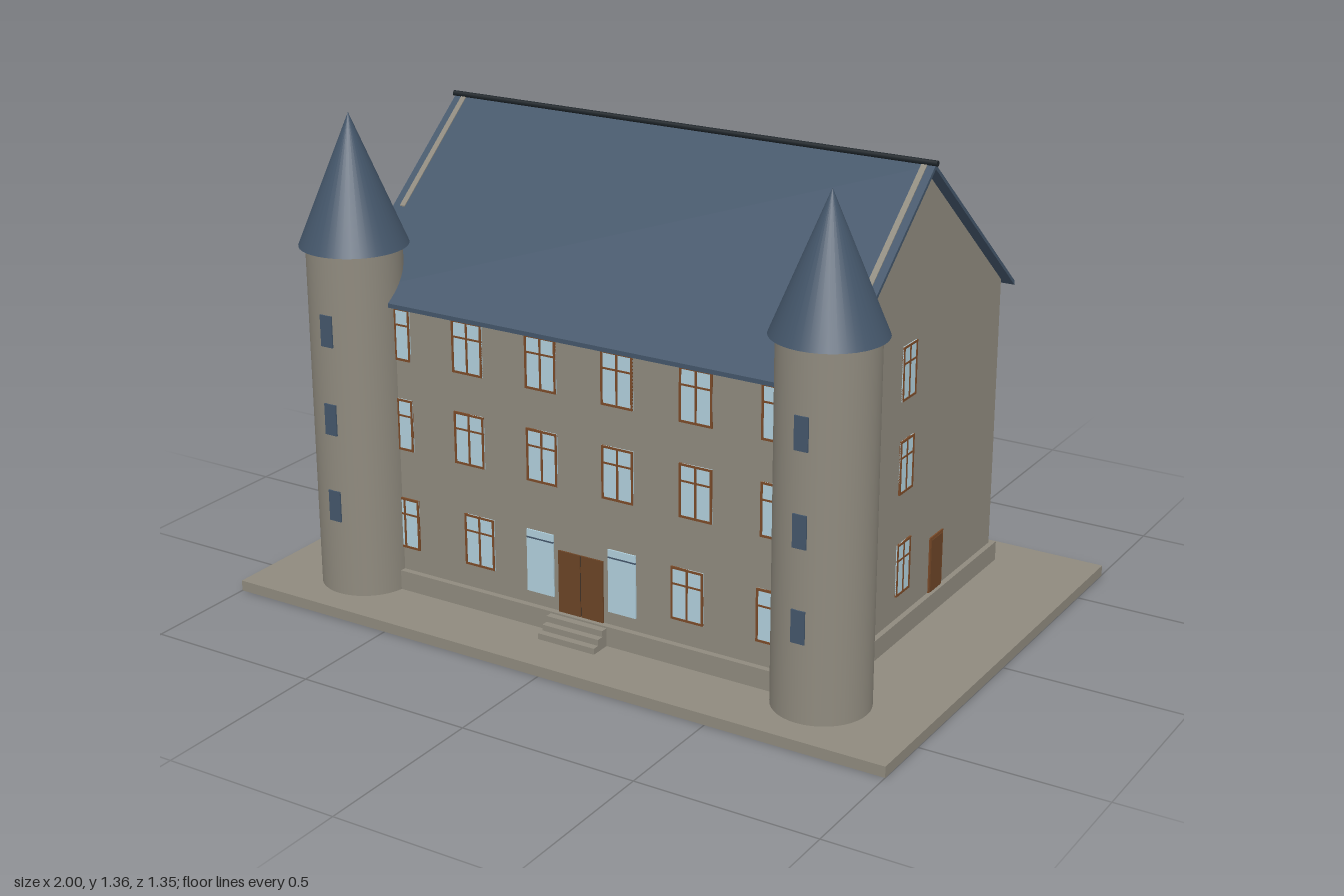
import * as THREE from 'three';

export function createModel() {
  const model = new THREE.Group();
  const mat = (name, color) => {
    const m = new THREE.MeshStandardMaterial({ color });
    m.name = name;
    return m;
  };
  const stone = mat('stone', 0x8f8a7e);
  const slate = mat('slate', 0x44566a);
  const glass = mat('glass', 0xb0cfdc);
  const timber = mat('timber', 0x7a4a28);
  const door = mat('door brown', 0x6b4426);
  const dark = mat('dark ridge', 0x1d2429);

  const add = (parent, name, geometry, material, x = 0, y = 0, z = 0) => {
    const mesh = new THREE.Mesh(geometry, material);
    mesh.name = name;
    mesh.position.set(x, y, z);
    parent.add(mesh);
    return mesh;
  };
  const box = (parent, name, w, h, d, material, x, y, z) =>
    add(parent, name, new THREE.BoxGeometry(w, h, d), material, x, y, z);
  // Extrudes a [z, y] profile along x between x0 and x1
  const prism = (name, points, x0, x1, material) => {
    const shape = new THREE.Shape(points.map(p => new THREE.Vector2(p[0], p[1])));
    const g = new THREE.ExtrudeGeometry(shape, { depth: x1 - x0, bevelEnabled: false });
    g.rotateY(-Math.PI / 2);
    g.translate(x1, 0, 0);
    return add(model, name, g, material);
  };

  const WX = 0.71, ZB = -0.538, ZF = 0.468, ZM = -0.035;

  // Ground slab, plinth and main block
  box(model, 'groundSlab', 2, 0.03, 1.35, stone, 0, 0.015, 0);
  box(model, 'plinth', 1.45, 0.056, 1.04, stone, 0, 0.058, ZM);
  prism('walls', [[ZB, 0.03], [ZF, 0.03], [ZF, 0.866], [ZM, 1.288], [ZB, 0.866]], -WX, WX, stone);

  // Roof: thin folded slab, ridge bar and gable copings showing through
  const roofY = z => 1.303 - Math.abs(z - ZM) * 0.84;
  const fold = (half, top, bottom) => {
    const a = ZM - half, b = ZM + half;
    return [[a, roofY(a) + bottom], [ZM, 1.303 + bottom], [b, roofY(b) + bottom],
      [b, roofY(b) + top], [ZM, 1.303 + top], [a, roofY(a) + top]];
  };
  prism('roof', fold(0.527, 0, -0.012), -0.74, 0.74, slate);
  for (const s of [-1, 1]) {
    prism('gableCoping', fold(0.297, 0.003, -0.006), s * 0.71 - 0.008, s * 0.71 + 0.008, stone);
  }
  const ridge = new THREE.CylinderGeometry(0.008, 0.008, 1.49, 8);
  ridge.rotateZ(Math.PI / 2);
  add(model, 'ridge', ridge, dark, 0, 1.306, ZM);

  // Corner towers with cone roofs and slit windows
  for (const s of [-1, 1]) {
    const tower = new THREE.Group();
    tower.name = 'tower';
    tower.position.set(s * 0.715, 0, 0.467);
    model.add(tower);
    add(tower, 'towerWall', new THREE.CylinderGeometry(0.129, 0.129, 0.97, 40), stone, 0, 0.515, 0);
    add(tower, 'towerRoof', new THREE.ConeGeometry(0.147, 0.357, 40), slate, 0, 1.1785, 0);
    for (const y of [0.29, 0.54, 0.79]) {
      box(tower, 'towerWindow', 0.038, 0.088, 0.009, slate, 0, y, 0.1275);
    }
  }

  // Places a group on a wall: u runs along the wall, side picks the facing
  const sides = {
    front: u => [u, ZF, 0],
    back: u => [u, ZB, Math.PI],
    left: u => [WX, u, Math.PI / 2],
    right: u => [-WX, u, -Math.PI / 2],
  };
  const onWall = (name, side, u, y) => {
    const g = new THREE.Group();
    const [x, z, turn] = sides[side](u);
    g.name = name;
    g.position.set(x, y, z);
    g.rotation.y = turn;
    model.add(g);
    return g;
  };
  // Framed window with mullion and transom
  const addWindow = (side, u, y, w, h, transom = true) => {
    const g = onWall('window', side, u, y);
    const t = 0.006;
    box(g, 'glass', w, h, 0.004, glass, 0, 0, 0.001);
    for (const s of [-1, 1]) {
      box(g, 'frameSide', t, h, 0.008, timber, s * (w - t) / 2, 0, 0.001);
      box(g, 'frameRail', w, t, 0.008, timber, 0, s * (h - t) / 2, 0.001);
    }
    box(g, 'mullion', t, h, 0.007, timber, 0, 0, 0.001);
    if (transom) box(g, 'transom', w, 0.005, 0.007, timber, 0, h * 0.18, 0.001);
  };

  const rows = [0.226, 0.514, 0.771];
  rows.forEach((y, floor) => {
    // Front
    const us = floor === 0 ? [0.325, 0.576] : [0.117, 0.35, 0.585];
    for (const u of us) for (const s of [-1, 1]) addWindow('front', s * u, y, 0.096, 0.147);
    // Back, with a small window at the end of each floor
    for (let i = 0; i < 6; i++) addWindow('back', 0.433 - i * 0.2066, y, 0.096, 0.147);
    addWindow('back', 0.626, y + 0.035, 0.075, 0.055, false);
    // Gable ends
    for (const u of [0.018, 0.305]) {
      addWindow('left', u, y, 0.077, 0.148);
      addWindow('right', u, y, 0.077, 0.148);
    }
    addWindow('right', -0.4, y, 0.077, 0.148);
  });

  // Front double door with tall side lights
  const entry = onWall('frontDoor', 'front', 0, 0.174);
  box(entry, 'doorSeam', 0.01, 0.17, 0.003, dark, 0, 0, 0.001);
  for (const s of [-1, 1]) {
    box(entry, 'doorLeaf', 0.068, 0.176, 0.008, door, s * 0.0355, 0, 0.001);
    box(entry, 'sideLight', 0.085, 0.178, 0.006, glass, s * 0.128, 0.038, 0.001);
    box(entry, 'sideLightBar', 0.085, 0.004, 0.008, slate, s * 0.128, 0.105, 0.001);
  }

  // Side door
  const sideDoor = onWall('sideDoor', 'left', -0.182, 0.166);
  box(sideDoor, 'doorFrame', 0.078, 0.16, 0.006, timber, 0, 0, 0.001);
  box(sideDoor, 'doorLeaf', 0.066, 0.152, 0.009, door, 0, -0.004, 0.001);

  // Entrance steps
  for (let i = 0; i < 3; i++) {
    const depth = 0.1 - i * 0.02;
    box(model, 'step', 0.176, 0.017, depth, stone, 0, 0.0385 + i * 0.017, 0.445 + depth / 2);
  }
  return model;
}
